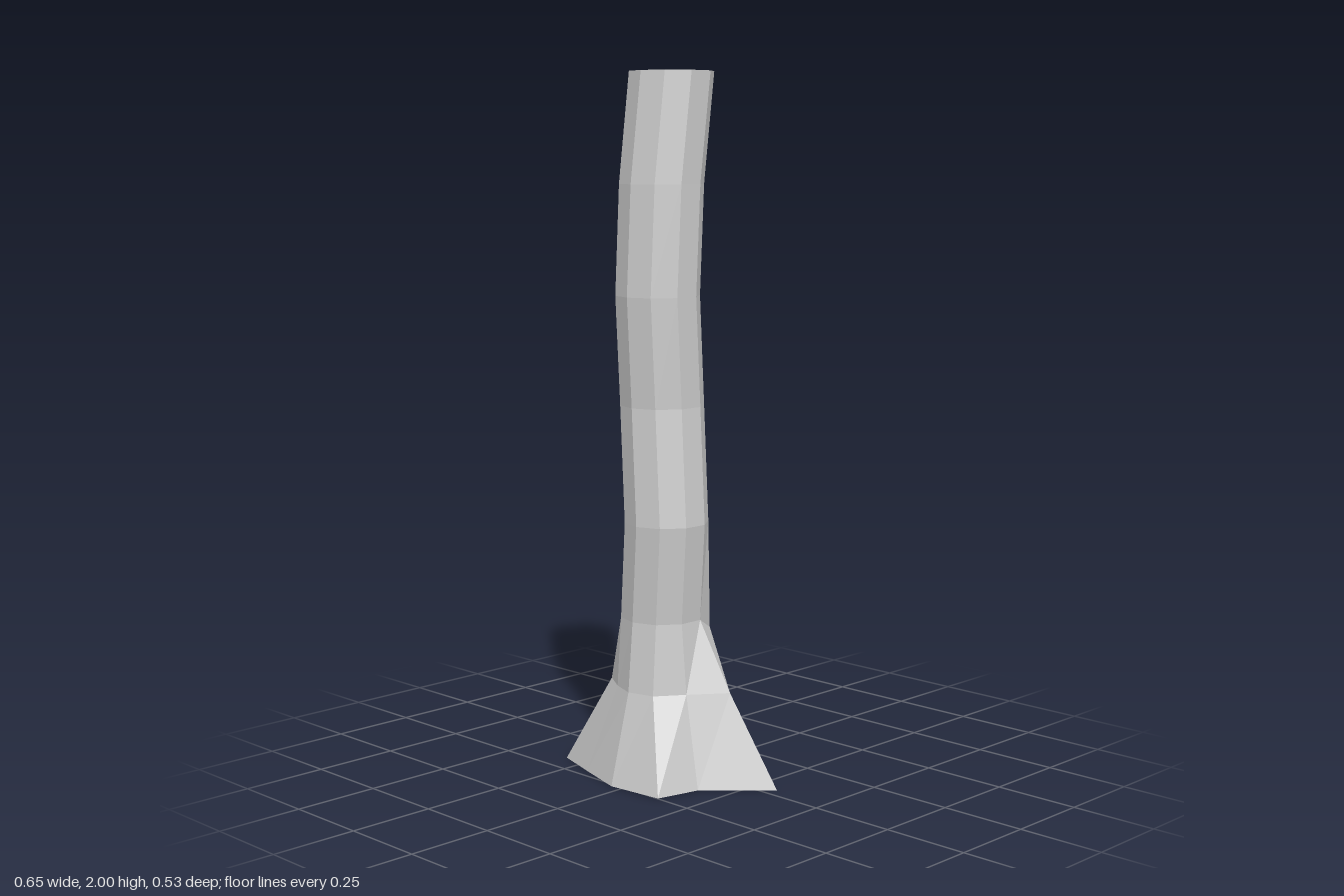
import * as THREE from 'three';

const SIDES = 10;

// Regular trunk ring: first corner faces front, then round towards +x
function ring(y, cx, cz, r = 0.12) {
  return Array.from({ length: SIDES }, (_, i) => {
    const a = (i / SIDES) * Math.PI * 2;
    return new THREE.Vector3(cx + r * Math.sin(a), y, cz + r * Math.cos(a));
  });
}

// Irregular root ring from [x, z, optional y] corners
const rootRing = (y, pts) => pts.map(([x, z, py = y]) => new THREE.Vector3(x, py, z));

// Flat cap over a possibly concave ring
function addCap(out, pts, up) {
  const flat = pts.map(p => new THREE.Vector2(p.x, -p.z));
  for (const [a, b, c] of THREE.ShapeUtils.triangulateShape(flat, [])) {
    const n = new THREE.Vector3().crossVectors(
      pts[b].clone().sub(pts[a]), pts[c].clone().sub(pts[a]));
    out.push(pts[a], ...((n.y > 0) === up ? [pts[b], pts[c]] : [pts[c], pts[b]]));
  }
}

export function createModel() {
  const rings = [
    // spreading root flare
    rootRing(0, [[-0.035, 0.265], [0.135, 0.248], [0.165, 0.12], [0.325, -0.035], [0.045, -0.08],
      [-0.05, -0.115], [-0.29, -0.267], [-0.235, -0.01], [-0.325, 0.173], [-0.19, 0.217]]),
    rootRing(0.26, [[-0.035, 0.197], [0.045, 0.178], [0.1, 0.1], [0.175, 0], [0.042, -0.075],
      [-0.04, -0.09], [-0.18, -0.13], [-0.17, 0.012], [-0.185, 0.12], [-0.11, 0.168]]),
    rootRing(0.46, [[-0.035, 0.18], [0.036, 0.157], [0.079, 0.097], [0.079, 0.023], [0.042, -0.055, 0.42],
      [-0.035, -0.072], [-0.137, -0.09], [-0.149, 0.023], [-0.149, 0.097], [-0.106, 0.157]]),
    // gently swaying trunk
    ring(0.74, -0.007, 0.071),
    ring(1.07, -0.037, 0.058),
    ring(1.38, -0.037, 0.075),
    ring(1.69, -0.036, 0.06),
    ring(2, -0.032, 0.024),
  ];

  const corners = [];
  for (let k = 0; k < rings.length - 1; k++) {
    const lo = rings[k], hi = rings[k + 1];
    for (let i = 0; i < SIDES; i++) {
      const j = (i + 1) % SIDES;
      corners.push(lo[i], lo[j], hi[j], lo[i], hi[j], hi[i]);
    }
  }
  addCap(corners, rings[0], false);
  addCap(corners, rings[rings.length - 1], true);

  const geometry = new THREE.BufferGeometry().setFromPoints(corners);
  geometry.computeVertexNormals();
  const trunk = new THREE.Mesh(geometry,
    new THREE.MeshStandardMaterial({ color: 0xcccccc, flatShading: true }));
  trunk.name = 'trunk';

  const group = new THREE.Group();
  group.name = 'treeTrunk';
  group.add(trunk);
  return group;
}
